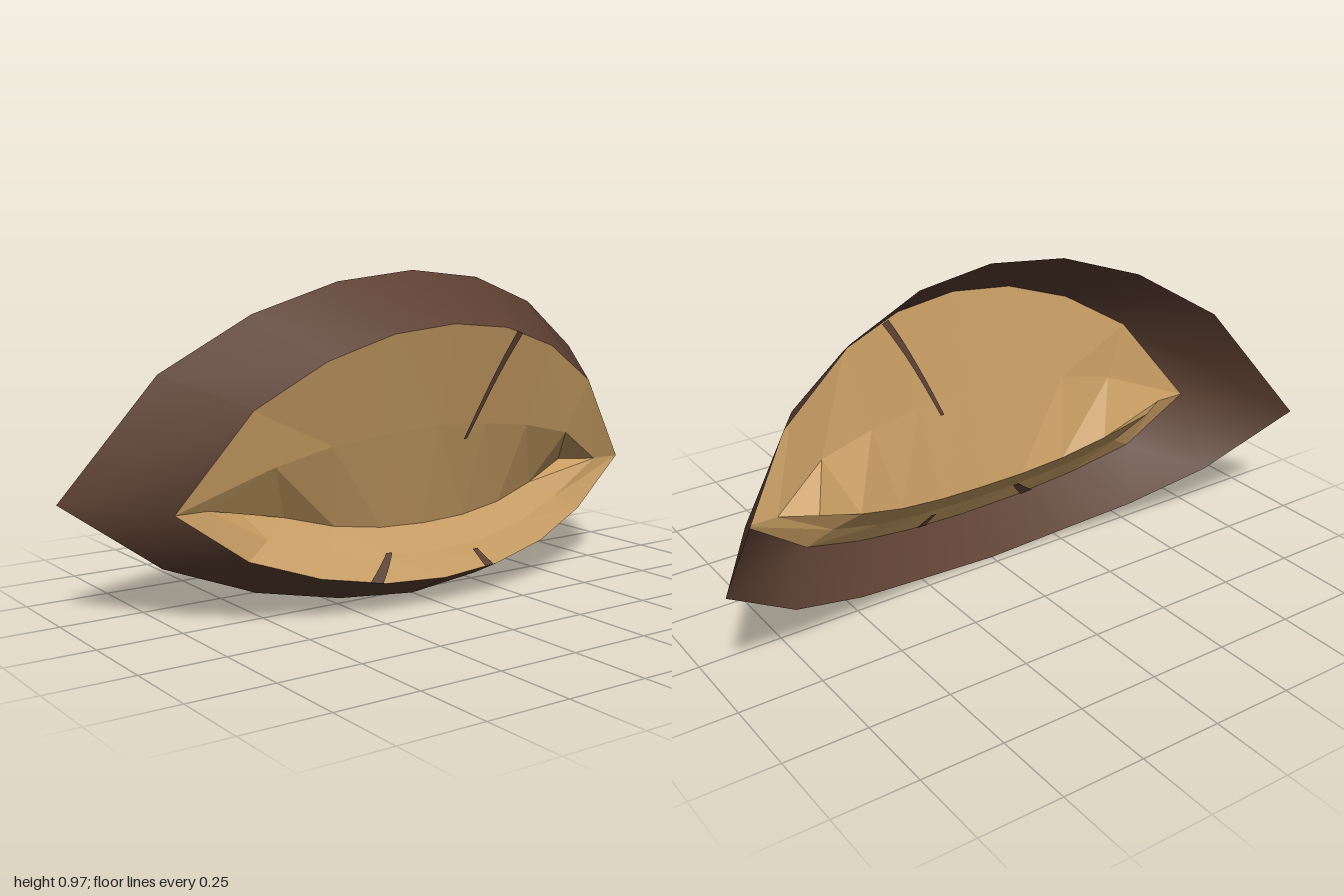
import * as THREE from 'three';

const brown = new THREE.MeshStandardMaterial({ color: 0x5c4032, side: THREE.DoubleSide });
brown.name = 'dark brown';
const tan = new THREE.MeshStandardMaterial({ color: 0xc69c62, side: THREE.DoubleSide });
tan.name = 'tan';

// Closed almond loop of 16 points. Each half lists [x, y] from corner to middle
// and is mirrored in z; the half width is k.
function loop(k, top, bottom) {
  const pts = [];
  for (let i = 0; i < 16; i++) {
    const upper = i <= 8;
    const j = upper ? i : 16 - i;
    const [x, y] = (upper ? top : bottom)[Math.min(j, 8 - j)];
    pts.push(new THREE.Vector3(x, y, k * (1 - j / 4)));
  }
  return pts;
}

// Skin a list of rows, optionally joining the last column to the first
function skin(rows, closed, flat) {
  const n = rows[0].length, index = [];
  for (let r = 0; r + 1 < rows.length; r++) {
    for (let i = 0; i < (closed ? n : n - 1); i++) {
      const j = (i + 1) % n;
      const a = r * n + i, b = r * n + j, c = b + n, d = a + n;
      index.push(a, d, c, a, c, b);
    }
  }
  let geo = new THREE.BufferGeometry().setFromPoints(rows.flat());
  geo.setIndex(index);
  if (flat) geo = geo.toNonIndexed();
  geo.computeVertexNormals();
  return geo;
}

function part(name, geo, material) {
  const mesh = new THREE.Mesh(geo, material);
  mesh.name = name;
  return mesh;
}

export function createModel() {
  const group = new THREE.Group();
  group.name = 'closedEye';

  // Rim edges
  const outer = loop(1,
    [[-0.24, 0.345], [-0.115, 0.697], [-0.035, 0.855], [0.015, 0.94], [0.03, 0.967]],
    [[-0.24, 0.345], [-0.115, 0.155], [-0.035, 0.065], [0.015, 0.02], [0.03, 0]]);
  const inner = loop(0.8,
    [[0.07, 0.345], [0.145, 0.615], [0.195, 0.737], [0.225, 0.803], [0.235, 0.823]],
    [[0.07, 0.345], [0.105, 0.198], [0.155, 0.13], [0.185, 0.093], [0.195, 0.082]]);

  // Lid folds and the seam where both lids meet
  const fold = loop(0.7,
    [[0.07, 0.345], [0.125, 0.453], [0.14, 0.494], [0.157, 0.516], [0.163, 0.525]],
    [[0.045, 0.345], [0.08, 0.244], [0.115, 0.19], [0.14, 0.162], [0.147, 0.153]]);
  const seamHalf = [[0.01, 0.345], [0.04, 0.29], [0.065, 0.25], [0.08, 0.23], [0.085, 0.225]];
  const seam = loop(0.6, seamHalf, seamHalf);

  group.add(part('rim', skin([outer, inner], true, false), brown));
  const lidRows = [inner, fold, seam];
  group.add(part('eyelids', skin(lidRows, true, true), tan));

  // Point on the lids at loop position c and row position t
  const onLid = (c, t) => {
    const i = Math.floor(c), r = Math.min(Math.floor(t), 1);
    const at = (row) => lidRows[row][i % 16].clone().lerp(lidRows[row][(i + 1) % 16], c - i);
    return at(r).lerp(at(r + 1), t - r);
  };

  // Thin tapering lash marks, showing on both faces of the lids
  const lashes = [
    { from: [5.25, 0], to: [4.6, 1.15], width: 0.12 },
    { from: [13.18, 0], to: [12.94, 1.1], width: 0.2 },
    { from: [11.16, 0.05], to: [11.24, 0.75], width: 0.16 },
  ];
  for (const { from, to, width } of lashes) {
    for (const offset of [-0.006, 0.006]) {
      const rows = [];
      for (let s = 0; s <= 8; s++) {
        const c = THREE.MathUtils.lerp(from[0], to[0], s / 8);
        const t = THREE.MathUtils.lerp(from[1], to[1], s / 8);
        const w = width * (1 - 0.4 * s / 8) / 2;
        rows.push([onLid(c - w, t), onLid(c + w, t)]);
      }
      const geo = skin(rows, false, false);
      geo.translate(offset, 0, 0);
      group.add(part('lashMark', geo, brown));
    }
  }
  return group;
}
